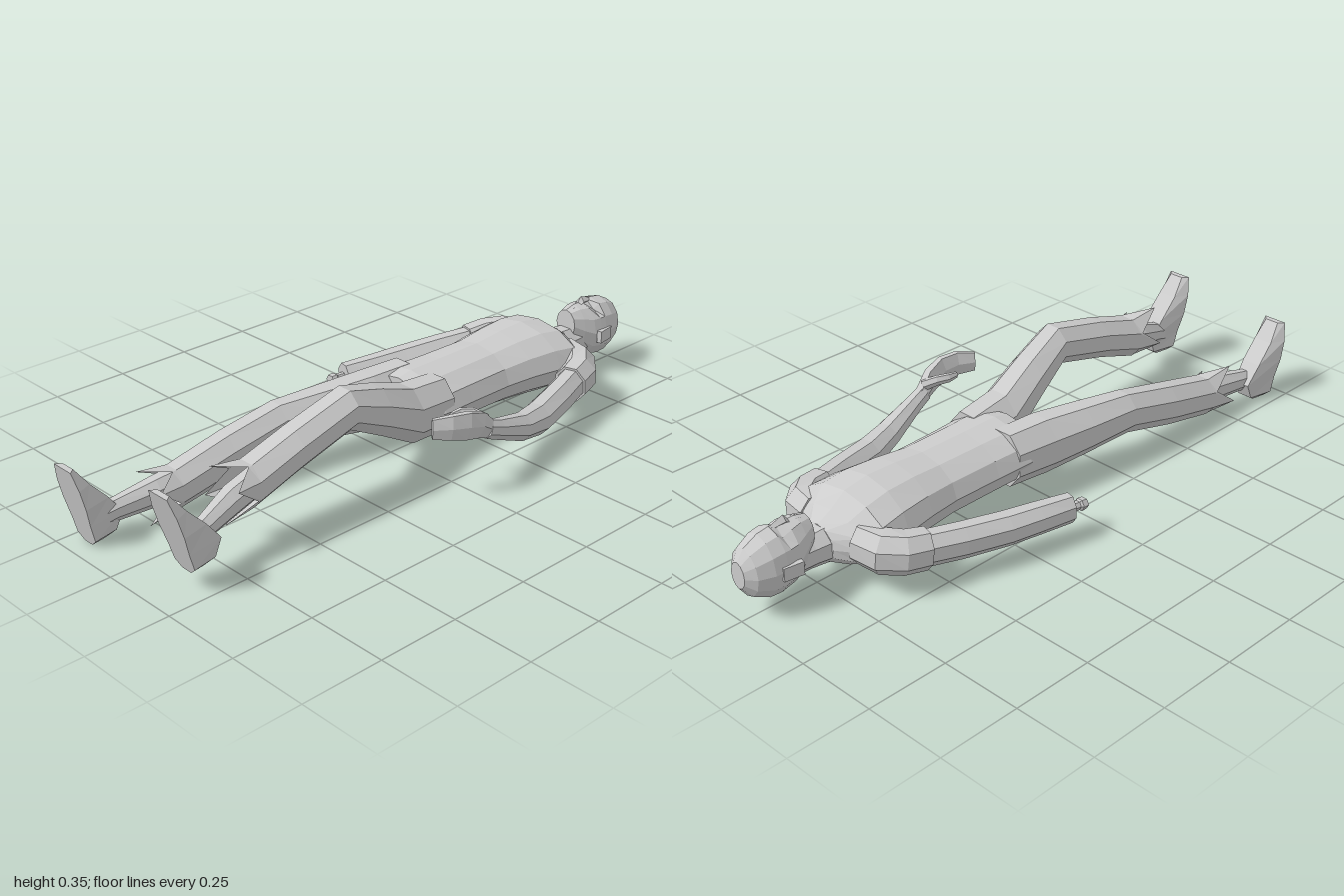
import * as THREE from 'three';

const V = (x, y, z) => new THREE.Vector3(x, y, z);
const UP = V(0, 1, 0);
const mat = new THREE.MeshStandardMaterial({ color: 0xcccccc, flatShading: true, side: THREE.DoubleSide });

// Joins rings of points (counter-clockwise about the path) into a faceted tube, with end caps
function skin(rings, name, capEnd = true) {
  const pos = [];
  const tri = (...pts) => pts.forEach((p) => pos.push(p.x, p.y, p.z));
  const n = rings[0].length;
  const cap = (ring, flip) => {
    const mid = ring.reduce((s, p) => s.add(p), V(0, 0, 0)).divideScalar(n);
    ring.forEach((p, j) => {
      const q = ring[(j + 1) % n];
      if (flip) tri(mid, q, p); else tri(mid, p, q);
    });
  };
  for (let i = 0; i < rings.length - 1; i++) {
    for (let j = 0; j < n; j++) {
      const k = (j + 1) % n, a = rings[i], b = rings[i + 1];
      tri(a[j], a[k], b[k]);
      tri(a[j], b[k], b[j]);
    }
  }
  cap(rings[0], true);
  if (capEnd) cap(rings[rings.length - 1], false);
  const geo = new THREE.BufferGeometry();
  geo.setAttribute('position', new THREE.Float32BufferAttribute(pos, 3));
  geo.computeVertexNormals();
  const mesh = new THREE.Mesh(geo, mat);
  mesh.name = name;
  return mesh;
}

// Elliptical rings from rows of [x, y, z, halfWidth, halfHeight]; bent paths turn their rings
function sections(rows, { n = 8, bend = false, mod = () => 1 } = {}) {
  const pts = rows.map((r) => V(r[0], r[1], r[2]));
  return rows.map((r, i) => {
    const t = bend
      ? pts[Math.min(i + 1, pts.length - 1)].clone().sub(pts[Math.max(i - 1, 0)]).normalize()
      : V(0, 0, 1);
    const side = UP.clone().cross(t).normalize();
    const up = t.clone().cross(side);
    return Array.from({ length: n }, (_, j) => {
      const a = ((j + (n === 8 ? 0.5 : 0)) / n) * Math.PI * 2;
      const k = mod(i, j) * (n === 8 ? 1.06 : 1);
      return pts[i].clone()
        .addScaledVector(side, Math.cos(a) * r[3] * k)
        .addScaledVector(up, Math.sin(a) * r[4] * k);
    });
  });
}
const loft = (name, rows, opts) => skin(sections(rows, opts), name);

// Trouser leg ending in a torn, flared hem
function trouserLeg(name, rows) {
  const rings = sections(rows);
  const [x, y, z] = rows[rows.length - 1];
  const last = rings[rings.length - 1];
  rings.push(last.map((p, j) => {
    const spike = j % 2 === 0;
    const k = spike ? 1.2 : 0.98;
    return V(x + (p.x - x) * k, y + (p.y - y) * k, z + (spike ? 0.085 + 0.015 * (j % 4) / 2 : 0.012));
  }));
  return skin(rings, name, false);
}

// Upright foot, built from heel to toe: rows of [height, halfWidth, thickness]
function foot(name, x, y0, z0, lean) {
  const rows = [[0, 0.018, 0.045], [0.02, 0.042, 0.08], [0.07, 0.044, 0.115],
    [0.13, 0.053, 0.085], [0.19, 0.052, 0.045], [0.245, 0.038, 0.018]];
  return skin(rows.map(([h, w, th]) => {
    const zs = z0 + h * lean;
    return [[-w, 0], [w, 0], [w * 0.6, -th], [-w * 0.6, -th]]
      .map(([dx, dz]) => V(x + dx, y0 + h, zs + dz));
  }), name);
}

export function createModel() {
  const g = new THREE.Group();
  g.name = 'lyingFigure';

  // Head with recessed eyes, tapering to the chin
  g.add(loft('head', [
    [0, 0.145, -0.998, 0.028, 0.04], [0, 0.145, -0.975, 0.056, 0.072],
    [0, 0.145, -0.93, 0.073, 0.095], [0, 0.147, -0.892, 0.076, 0.099],
    [0, 0.148, -0.872, 0.074, 0.095], [0, 0.15, -0.845, 0.07, 0.092],
    [0, 0.165, -0.81, 0.055, 0.077], [0, 0.185, -0.775, 0.038, 0.048],
  ], { n: 12, mod: (i, j) => (i === 4 && (j === 2 || j === 4) ? 0.83 : 1) }));
  g.add(loft('nose', [
    [0, 0.238, -0.885, 0.008, 0.008], [0, 0.244, -0.845, 0.014, 0.016], [0, 0.236, -0.832, 0.012, 0.008],
  ], { n: 4 }));
  g.add(loft('mouth', [
    [0, 0.228, -0.812, 0.022, 0.012], [0, 0.224, -0.795, 0.024, 0.012],
  ], { n: 6 }));
  for (const s of [1, -1]) {
    const ear = new THREE.Mesh(new THREE.BoxGeometry(0.016, 0.04, 0.06), mat);
    ear.position.set(s * 0.075, 0.14, -0.88);
    ear.rotation.y = s * 0.15;
    ear.name = s > 0 ? 'leftEar' : 'rightEar';
    g.add(ear);
  }
  g.add(loft('neck', [
    [0, 0.125, -0.85, 0.05, 0.055], [0, 0.122, -0.78, 0.05, 0.052], [0, 0.122, -0.69, 0.062, 0.06],
  ]));

  // Torso from collar to pelvis
  g.add(loft('torso', [
    [0, 0.125, -0.735, 0.06, 0.055], [0, 0.13, -0.69, 0.14, 0.075],
    [0, 0.143, -0.64, 0.175, 0.1], [0, 0.147, -0.56, 0.165, 0.109],
    [0, 0.15, -0.46, 0.15, 0.103], [0, 0.148, -0.36, 0.137, 0.096],
    [0, 0.151, -0.2, 0.142, 0.093], [0, 0.155, -0.08, 0.15, 0.09],
    [0, 0.155, -0.03, 0.135, 0.08],
  ], { n: 12 }));

  for (const s of [1, -1]) {
    const side = s > 0 ? 'left' : 'right';
    // Short sleeve over the upper arm
    g.add(loft(side + 'Sleeve', [
      [s * 0.09, 0.135, -0.665, 0.05, 0.06], [s * 0.16, 0.13, -0.65, 0.055, 0.063],
      [s * 0.198, 0.125, -0.61, 0.054, 0.06], [s * 0.216, 0.118, -0.55, 0.05, 0.058],
    ], { bend: true }));
    // Arm: the left forearm lifts, the right one lies flat
    const upper = [[s * 0.2, 0.122, -0.6, 0.042, 0.05], [s * 0.248, 0.112, -0.45, 0.044, 0.05],
      [s * 0.283, 0.105, -0.32, 0.045, 0.048]];
    const lower = s > 0
      ? [[0.308, 0.122, -0.22, 0.038, 0.04], [0.328, 0.165, -0.1, 0.026, 0.03], [0.333, 0.185, -0.05, 0.022, 0.028]]
      : [[-0.305, 0.102, -0.22, 0.041, 0.046], [-0.33, 0.1, -0.115, 0.034, 0.043]];
    g.add(loft(side + 'Arm', [...upper, ...lower], { bend: true }));
  }

  // Bone stub where the right hand is missing
  g.add(loft('boneStub', [
    [-0.33, 0.1, -0.13, 0.014, 0.016], [-0.337, 0.1, -0.09, 0.013, 0.015],
    [-0.338, 0.1, -0.085, 0.019, 0.02], [-0.34, 0.1, -0.067, 0.018, 0.018],
  ], { n: 6 }));

  // Half-closed left hand
  g.add(loft('leftHand', [
    [0.331, 0.18, -0.065, 0.021, 0.027], [0.342, 0.215, -0.01, 0.022, 0.042],
    [0.345, 0.23, 0.04, 0.018, 0.046], [0.332, 0.237, 0.09, 0.016, 0.042],
    [0.303, 0.237, 0.135, 0.011, 0.034],
  ], { n: 6, bend: true }));
  g.add(loft('leftThumb', [
    [0.332, 0.212, -0.05, 0.014, 0.018], [0.298, 0.232, -0.025, 0.013, 0.016],
    [0.282, 0.235, 0.005, 0.011, 0.015], [0.279, 0.236, 0.035, 0.008, 0.01],
  ], { n: 6, bend: true }));

  // Legs: the left knee is raised, the right leg lies almost straight
  g.add(trouserLeg('leftTrouserLeg', [
    [0.073, 0.155, -0.12, 0.07, 0.085], [0.083, 0.168, 0.02, 0.075, 0.088],
    [0.108, 0.236, 0.16, 0.067, 0.075], [0.132, 0.297, 0.3, 0.058, 0.06],
    [0.137, 0.247, 0.5, 0.06, 0.062], [0.138, 0.2, 0.65, 0.061, 0.064],
  ]));
  g.add(trouserLeg('rightTrouserLeg', [
    [-0.073, 0.155, -0.12, 0.07, 0.085], [-0.083, 0.152, 0.02, 0.075, 0.088],
    [-0.108, 0.155, 0.16, 0.068, 0.078], [-0.138, 0.16, 0.32, 0.054, 0.065],
    [-0.15, 0.122, 0.5, 0.056, 0.066], [-0.153, 0.085, 0.68, 0.055, 0.062],
  ]));
  g.add(loft('leftShin', [
    [0.14, 0.215, 0.58, 0.037, 0.042], [0.146, 0.175, 0.72, 0.037, 0.043],
    [0.163, 0.143, 0.82, 0.027, 0.034], [0.175, 0.125, 0.87, 0.028, 0.035],
  ]));
  g.add(loft('rightShin', [
    [-0.152, 0.105, 0.6, 0.037, 0.042], [-0.157, 0.092, 0.74, 0.036, 0.042],
    [-0.172, 0.078, 0.86, 0.025, 0.033], [-0.18, 0.07, 0.92, 0.028, 0.034],
  ]));
  g.add(foot('leftFoot', 0.181, 0.057, 0.888, 0.3));
  g.add(foot('rightFoot', -0.185, 0.003, 0.94, 0.24));
  return g;
}
